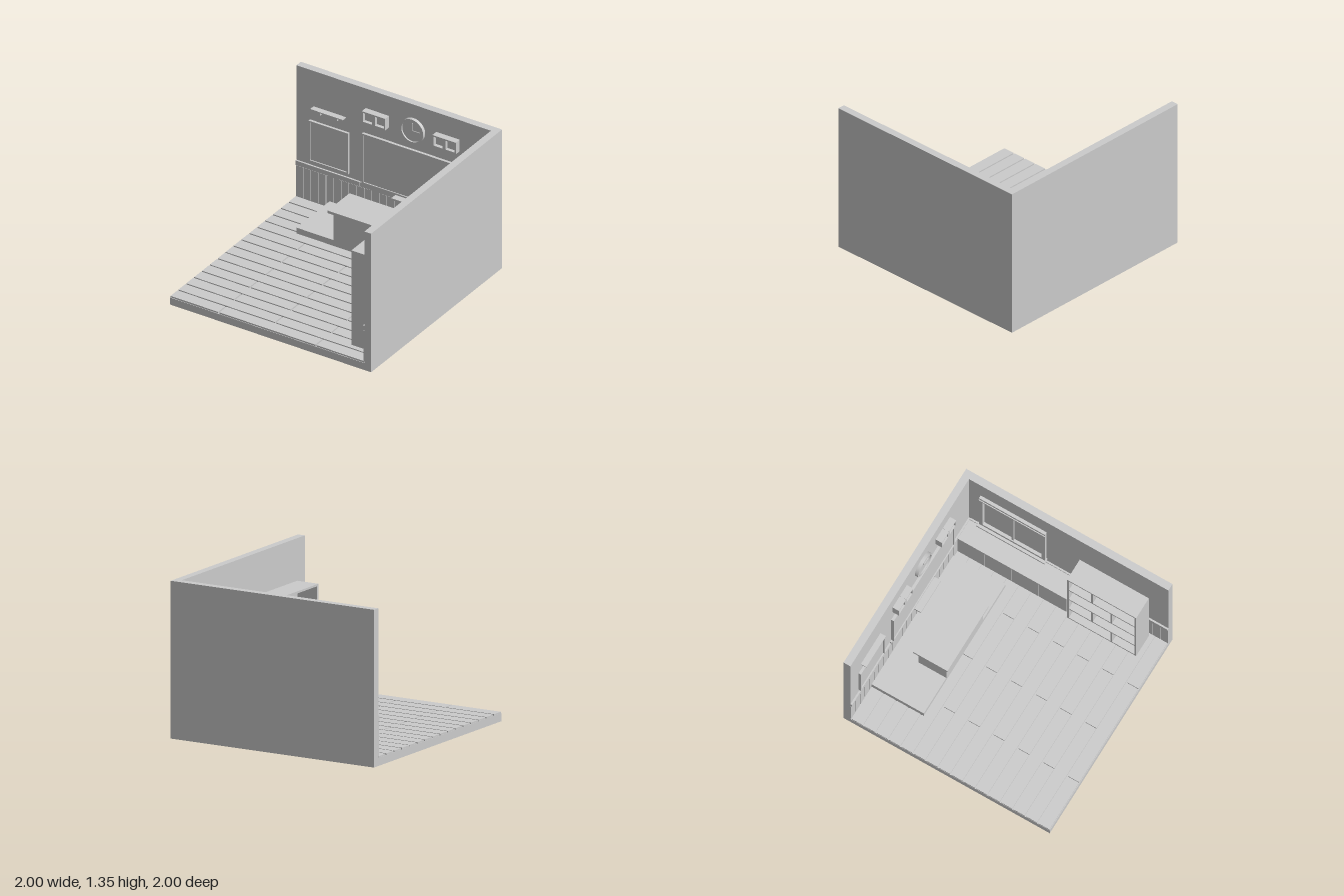
import * as THREE from 'three';

const mat = new THREE.MeshStandardMaterial({ color: 0xcccccc });

// Box given by its limits on each axis
function box(parent, name, x0, x1, y0, y1, z0, z1) {
  const m = new THREE.Mesh(new THREE.BoxGeometry(x1 - x0, y1 - y0, z1 - z0), mat);
  m.position.set((x0 + x1) / 2, (y0 + y1) / 2, (z0 + z1) / 2);
  m.name = name;
  parent.add(m);
  return m;
}

function group(parent, name) {
  const g = new THREE.Group();
  g.name = name;
  parent.add(g);
  return g;
}

// Rectangular frame facing +z, with a hole inset by t
function frame(parent, name, x0, x1, y0, y1, z0, z1, t) {
  const g = group(parent, name);
  box(g, name + 'Bottom', x0, x1, y0, y0 + t, z0, z1);
  box(g, name + 'Top', x0, x1, y1 - t, y1, z0, z1);
  box(g, name + 'SideA', x0, x0 + t, y0 + t, y1 - t, z0, z1);
  box(g, name + 'SideB', x1 - t, x1, y0 + t, y1 - t, z0, z1);
  return g;
}

const WALL = 0.933; // inner face of both walls
const FLOOR = 0.082; // top of the planks

function floorAndWalls(root) {
  box(root, 'floorBase', -1, 1, 0, 0.068, -1, 1);
  box(root, 'backWall', -1, 1, 0.068, 1.35, -1, -WALL);
  box(root, 'sideWall', WALL, 1, 0.068, 1.35, -WALL, 1);

  // Planks in staggered rows
  const planks = group(root, 'floorPlanks');
  const pitch = 0.1205, gap = 0.013;
  for (let i = 0; i < 16; i++) {
    const z1 = 0.995 - i * pitch, z0 = Math.max(z1 - pitch + gap, -WALL);
    const seams = i % 2 ? [-1, -0.032, WALL] : [-1, -0.518, 0.448, WALL];
    for (let k = 0; k < seams.length - 1; k++)
      box(planks, 'plank', seams[k] + (k ? gap / 2 : 0.002), seams[k + 1] - gap / 2, 0.066, FLOOR, z0, z1);
  }
}

function wainscot(root) {
  const g = group(root, 'wainscot');
  const pitch = 0.0757;
  for (let a = -1; a < 0.92; a += pitch) {
    const b = Math.min(a + pitch - 0.007, 0.925);
    box(g, 'backSlat', a, b, FLOOR, 0.38, -0.94, -0.925);
    box(g, 'sideSlat', 0.925, 0.94, FLOOR, 0.38, -b, -a);
  }
  // Cap rails, each with one joint
  for (const [a, b] of [[-1, -0.364], [-0.356, 0.93]]) box(g, 'backRail', a, b, 0.387, 0.43, -0.94, -0.917);
  for (const [a, b] of [[-0.917, 0.346], [0.354, 1]]) box(g, 'sideRail', 0.917, 0.94, 0.387, 0.43, a, b);
}

function backWallItems(root) {
  // Large writing board with chalk tray
  const board = group(root, 'writingBoard');
  box(board, 'boardPanel', -0.325, 0.655, 0.44, 0.905, -0.94, -0.918);
  frame(board, 'boardFrame', -0.335, 0.665, 0.43, 0.917, -0.94, -0.908, 0.015);
  box(board, 'chalkTray', 0, 0.33, 0.412, 0.43, -0.94, -0.845);

  // Notice board
  const notice = group(root, 'noticeBoard');
  box(notice, 'noticePanel', -0.86, -0.475, 0.48, 0.86, -0.94, -0.922);
  frame(notice, 'noticeFrame', -0.867, -0.472, 0.47, 0.867, -0.94, -0.91, 0.015);

  // Small shelf on brackets
  const shelf = group(root, 'wallShelf');
  box(shelf, 'shelfBoard', -0.83, -0.51, 0.996, 1.006, -0.94, -0.88);
  for (const x of [-0.755, -0.588]) box(shelf, 'bracket', x - 0.008, x + 0.008, 0.955, 0.996, -0.94, -0.905);

  // Pairs of small open wall boxes
  for (const x of [-0.312, 0.39]) {
    const pair = group(root, 'wallBoxes');
    for (let i = 0; i < 2; i++) {
      const a = x + i * 0.117, b = a + 0.116;
      frame(pair, 'wallBox', a, b, 1.048, 1.16, -0.94, -0.873, 0.013);
      box(pair, 'wallBoxBack', a + 0.01, b - 0.01, 1.055, 1.153, -0.94, -0.905);
    }
  }

  // Clock showing three
  const clock = group(root, 'clock');
  clock.position.set(0.165, 1.105, -0.94);
  const rim = new THREE.Shape().absarc(0, 0, 0.115, 0, Math.PI * 2);
  rim.holes.push(new THREE.Path().absarc(0, 0, 0.102, 0, Math.PI * 2, true));
  const ring = new THREE.Mesh(new THREE.ExtrudeGeometry(rim, { depth: 0.038, bevelEnabled: false, curveSegments: 32 }), mat);
  ring.name = 'clockRim';
  const face = new THREE.Mesh(new THREE.CylinderGeometry(0.105, 0.105, 0.024, 40), mat);
  face.rotation.x = Math.PI / 2;
  face.position.z = 0.012;
  face.name = 'clockFace';
  clock.add(ring, face);
  box(clock, 'minuteHand', -0.003, 0.003, -0.003, 0.075, 0.024, 0.03);
  box(clock, 'hourHand', -0.003, 0.07, -0.003, 0.003, 0.024, 0.03);
}

function platformAndDesk(root) {
  box(root, 'platform', -0.667, 0.663, 0.07, 0.138, -WALL, -0.42);
  const desk = group(root, 'desk');
  box(desk, 'deskTop', -0.335, 0.333, 0.405, 0.43, -0.72, -0.388);
  box(desk, 'deskFront', -0.3, 0.295, 0.138, 0.405, -0.44, -0.42);
  for (const x of [-0.3, 0.275]) box(desk, 'deskSide', x, x + 0.02, 0.138, 0.405, -0.69, -0.44);
}

// Open bookcase facing -x, with staggered dividers
function bookcase(root) {
  const g = group(root, 'bookcase');
  const x0 = 0.693, x1 = 0.9, z0 = 0.16, z1 = 0.83, t = 0.018, rows = 4;
  const step = (1 - t - FLOOR) / rows;
  for (const z of [z0, z1 - t]) box(g, 'bookcaseSide', x0, x1, FLOOR, 1, z, z + t);
  box(g, 'bookcaseBack', x1 - 0.012, x1, FLOOR, 1, z0 + t, z1 - t);
  for (let i = 0; i <= rows; i++) {
    const y = FLOOR + i * step;
    box(g, 'bookcaseShelf', x0, x1 - 0.012, y, y + t, z0 + t, z1 - t);
    if (i === rows) break;
    const z = z0 + (z1 - z0) * (i % 2 ? 0.36 : 0.64);
    box(g, 'bookcaseDivider', x0, x1 - 0.012, y + t, y + step, z - t / 2, z + t / 2);
  }
}

function lowCabinet(root) {
  const g = group(root, 'lowCabinet');
  box(g, 'cabinetBody', 0.735, WALL, FLOOR, 0.4, -WALL, 0.14);
  box(g, 'cabinetTop', 0.722, WALL, 0.4, 0.42, -WALL, 0.142);
  for (let i = 0; i < 4; i++) {
    const z = -0.92 + i * 0.265;
    box(g, 'cabinetDoor', 0.727, 0.736, 0.1, 0.39, z, z + 0.255);
  }
}

// Framed window on the side wall
function sideWindow(root) {
  const g = group(root, 'sideWindow');
  const f = frame(g, 'windowFrame', -0.82, -0.18, 0.48, 1.11, 0, 0.03, 0.035);
  box(f, 'windowMullion', -0.51, -0.49, 0.51, 1.08, 0, 0.02);
  // Turn the frame to face -x
  f.rotation.y = -Math.PI / 2;
  f.position.x = 0.935;
  box(g, 'windowSill', 0.88, WALL, 0.465, 0.485, -0.832, -0.172);
  box(g, 'windowHead', 0.897, WALL, 1.066, 1.082, -0.82, -0.18);
}

export function createModel() {
  const root = new THREE.Group();
  root.name = 'classroom';
  floorAndWalls(root);
  wainscot(root);
  backWallItems(root);
  platformAndDesk(root);
  bookcase(root);
  lowCabinet(root);
  sideWindow(root);
  return root;
}
